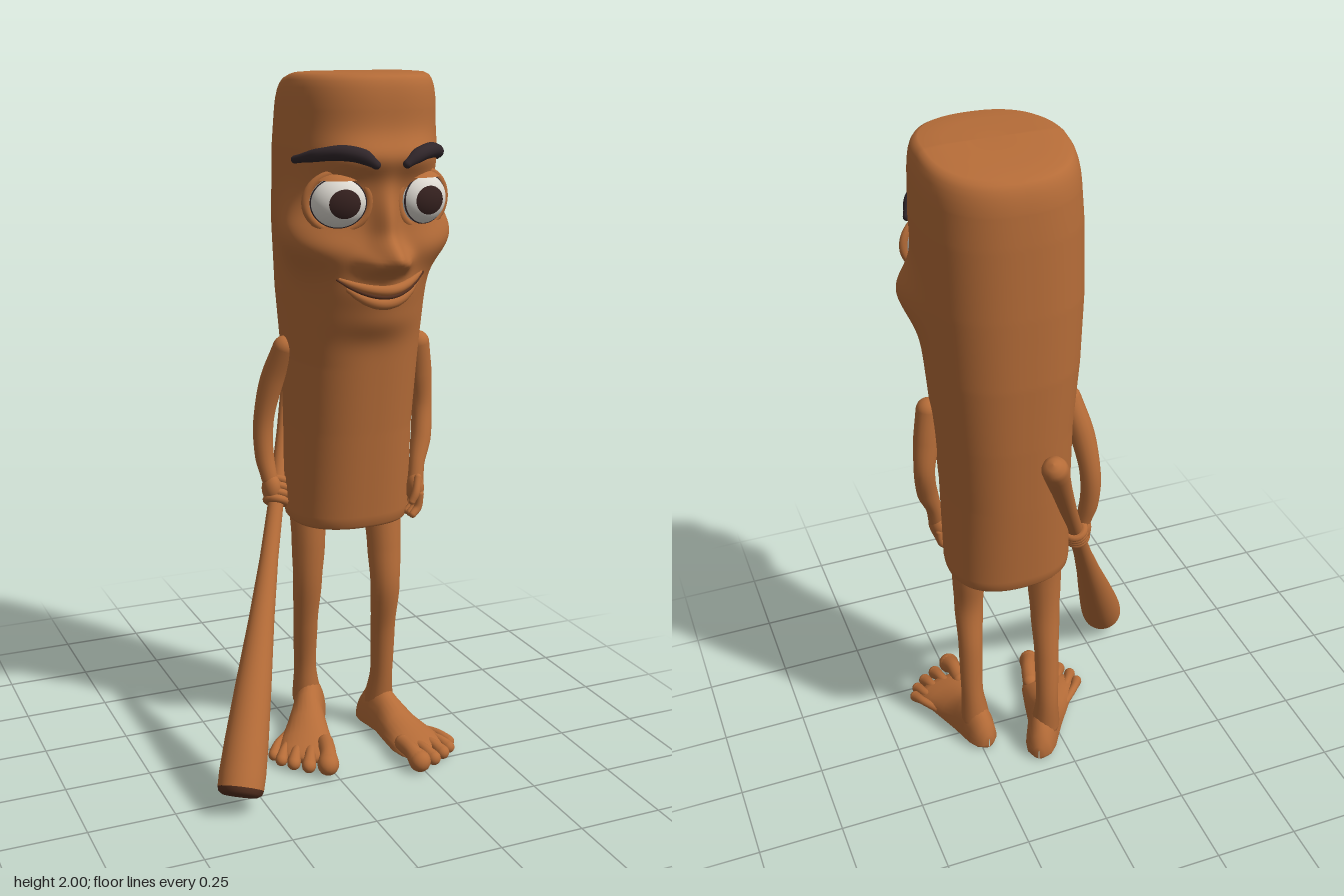
import * as THREE from 'three';
import { mergeVertices } from 'three/addons/utils/BufferGeometryUtils.js';

const mat = (name, color) => Object.assign(new THREE.MeshStandardMaterial({ color }), { name });
const wood = mat('wood brown', 0xb56c38);
const dark = mat('brow black', 0x30262a);
const pupil = mat('iris dark brown', 0x35211f);
const white = mat('eye white', 0xdcd8d0);
const crease = mat('mouth brown', 0x55301f);
const MID = 0.14; // the face's line of symmetry

function mesh(name, geo, material, parent) {
  const m = new THREE.Mesh(geo, material);
  m.name = name;
  parent.add(m);
  return m;
}

function smooth(geo) {
  geo.deleteAttribute('uv');
  geo.deleteAttribute('normal');
  const g = mergeVertices(geo, 1e-5);
  g.computeVertexNormals();
  return g;
}

// Round limb through [x, y, z, radius] points, with ball ends
function limb(name, pts, material, parent, steps = 32) {
  const group = new THREE.Group();
  group.name = name;
  parent.add(group);
  const curve = new THREE.CatmullRomCurve3(pts.map(p => new THREE.Vector3(p[0], p[1], p[2])));
  const sides = 16, geo = new THREE.TubeGeometry(curve, steps, 1, sides);
  const pos = geo.attributes.position, v = new THREE.Vector3();
  for (let i = 0; i <= steps; i++) {
    const c = curve.getPointAt(i / steps);
    const t = curve.getUtoTmapping(i / steps) * (pts.length - 1);
    const k = Math.min(Math.floor(t), pts.length - 2);
    const r = THREE.MathUtils.lerp(pts[k][3], pts[k + 1][3], THREE.MathUtils.smoothstep(t - k, 0, 1));
    for (let j = 0; j <= sides; j++) {
      const n = i * (sides + 1) + j;
      v.fromBufferAttribute(pos, n).sub(c).multiplyScalar(r).add(c);
      pos.setXYZ(n, v.x, v.y, v.z);
    }
  }
  mesh(name + 'Tube', geo, material, group);
  for (const p of [pts[0], pts[pts.length - 1]])
    mesh(name + 'End', new THREE.SphereGeometry(p[3], 16, 12), material, group).position.set(p[0], p[1], p[2]);
  return group;
}

function ellipsoid(name, p, s, material, parent) {
  const m = mesh(name, new THREE.SphereGeometry(1, 28, 20), material, parent);
  m.position.set(...p);
  m.scale.set(...s);
  return m;
}

// Body outline by height: y, right x, left x, front z, back z
const OUTLINE = [
  [0.71, -0.035, 0.325, 0.11, -0.205], [1.0, -0.035, 0.325, 0.135, -0.225], [1.2, -0.04, 0.335, 0.155, -0.237],
  [1.4, -0.06, 0.348, 0.175, -0.245], [1.6, -0.072, 0.357, 0.198, -0.245], [1.8, -0.072, 0.36, 0.213, -0.24],
  [2.0, -0.06, 0.353, 0.213, -0.23],
];
function outline(y) {
  let k = 0;
  while (k < OUTLINE.length - 2 && y > OUTLINE[k + 1][0]) k++;
  const a = OUTLINE[k], b = OUTLINE[k + 1], t = THREE.MathUtils.clamp((y - a[0]) / (b[0] - a[0]), 0, 1);
  const [, x0, x1, zf, zb] = a.map((q, i) => q + (b[i] - q) * t);
  return { cx: (x0 + x1) / 2, rx: (x1 - x0) / 2, cz: (zf + zb) / 2, rz: (zf - zb) / 2 };
}

// Face relief: centre, spread, push
const BUMPS = [
  [[MID, 1.515, 0.2], [0.03, 0.03, 0.12], [0, 0, 0.088]],  // nose tip
  [[MID, 1.6, 0.2], [0.024, 0.07, 0.12], [0, 0, 0.042]],   // nose bridge
  [[MID, 1.42, 0.18], [0.09, 0.05, 0.12], [0, 0, 0.042]],  // muzzle
  [[MID, 1.33, 0.17], [0.08, 0.035, 0.12], [0, 0, 0.022]], // chin
];
for (const s of [-1, 1]) BUMPS.push(
  [[MID + s * 0.047, 1.5, 0.2], [0.02, 0.02, 0.12], [0, 0, 0.04]],               // nostril wings
  [[MID + s * 0.205, 1.565, 0.1], [0.08, 0.06, 0.08], [s * 0.048, 0, 0.02]],      // cheeks
  [[MID + s * 0.13, 1.53, 0.18], [0.06, 0.04, 0.1], [0, 0, 0.025]],              // cheek fronts
  [[MID + s * 0.09, 1.78, 0.2], [0.08, 0.035, 0.1], [0, 0, 0.03]],               // brow ridges
);
function relief(x, y, z) {
  const d = [0, 0, 0];
  for (const [c, s, push] of BUMPS) {
    const w = Math.exp(-0.5 * (((x - c[0]) / s[0]) ** 2 + ((y - c[1]) / s[1]) ** 2 + ((z - c[2]) / s[2]) ** 2));
    push.forEach((p, i) => { d[i] += p * w; });
  }
  return d;
}
const POW = 2.4;
function frontZ(x, y) {
  const o = outline(y);
  const z = o.cz + o.rz * Math.max(0, 1 - Math.abs((x - o.cx) / o.rx) ** POW) ** (1 / POW);
  return z + relief(x, y, z)[2];
}

function buildBody(parent) {
  const prof = [[0, 0.715], [0.5, 0.715], [0.88, 0.71], [0.95, 0.712], [0.985, 0.72], [1, 0.74]];
  for (let i = 1; i <= 130; i++) prof.push([1, 0.74 + 1.17 * i / 130]);
  prof.push([0.995, 1.935], [0.98, 1.96], [0.955, 1.978], [0.92, 1.99], [0.86, 1.997], [0.6, 2], [0.3, 2], [0, 2]);
  const geo = new THREE.LatheGeometry(prof.map(p => new THREE.Vector2(...p)), 160);
  const pos = geo.attributes.position;
  for (let i = 0; i < pos.count; i++) {
    let x = pos.getX(i), y = pos.getY(i), z = pos.getZ(i);
    const r = Math.hypot(x, z), o = outline(y);
    if (r > 1e-6) {
      const k = r / ((Math.abs(x / r) ** POW + Math.abs(z / r) ** POW) ** (1 / POW)) / r;
      x *= k; z *= k;
    }
    const tilt = 0.032 * Math.max(0, -z) * THREE.MathUtils.smoothstep(y, 1.8, 2);
    x = o.cx + o.rx * x;
    z = o.cz + o.rz * z;
    const d = y > 0.72 ? relief(x, y, z) : [0, 0, 0];
    pos.setXYZ(i, x + d[0], y - tilt, z + d[2]);
  }
  mesh('body', smooth(geo), wood, parent);
}

function buildEye(s, parent) {
  const eye = new THREE.Group();
  eye.name = s > 0 ? 'leftEye' : 'rightEye';
  eye.position.set(MID + s * 0.122, 1.665, 0.168);
  eye.rotation.y = s * 0.3;
  eye.scale.set(0.079, 0.07, 0.062);
  parent.add(eye);
  mesh('eyeball', new THREE.SphereGeometry(1, 32, 24), white, eye);
  const iris = mesh('iris', new THREE.SphereGeometry(1.04, 32, 8, 0, Math.PI * 2, 0, 0.56), pupil, eye);
  iris.rotation.x = Math.PI / 2;
  iris.rotation.z = s * 0.2;
  mesh('upperLid', new THREE.SphereGeometry(1.12, 32, 10, 0, Math.PI * 2, 0, 0.72), wood, eye);
  mesh('lidRim', new THREE.TorusGeometry(1.08, 0.16, 12, 40), wood, eye).position.z = 0.12;
  mesh('lashLine', new THREE.TorusGeometry(0.93, 0.04, 8, 40), dark, eye).position.z = 0.33;
}

function buildFace(parent) {
  for (const s of [-1, 1]) {
    buildEye(s, parent);
    const brow = [[0.045, 1.766, 0.012], [0.08, 1.788, 0.02], [0.125, 1.797, 0.021], [0.17, 1.79, 0.018], [0.205, 1.772, 0.011]];
    limb(s > 0 ? 'leftBrow' : 'rightBrow',
      brow.map(([x, y, r]) => [MID + s * x, y, frontZ(MID + s * x, y) + 0.006, r]), dark, parent);
  }
  // Smile: lips either side of a dark line
  const smile = (name, dy, r, out, width, material) => {
    const pts = [];
    for (let i = -4; i <= 4; i++) {
      const u = i / 4, x = MID + 0.004 + u * width;
      const y = 1.41 + dy * (1 - 0.6 * u * u) + 0.05 * (x - MID) ** 2 / 0.0169;
      pts.push([x, y, frontZ(x, y) + out, r * (1 - 0.55 * u * u)]);
    }
    limb(name, pts, material, parent);
  };
  smile('upperLip', 0.017, 0.015, 0, 0.12, wood);
  smile('lowerLip', -0.02, 0.017, 0, 0.1, wood);
  smile('mouthLine', 0, 0.006, 0.008, 0.13, crease);
}

// Foot along local +z; inner side is -x for the left foot
function buildFoot(s, x, z, yaw, stretch, parent) {
  const foot = new THREE.Group();
  foot.name = s > 0 ? 'leftFoot' : 'rightFoot';
  foot.position.set(x, 0.008, z);
  foot.rotation.y = s * yaw;
  foot.scale.z = stretch;
  parent.add(foot);
  // z, centre x, half width, height
  const secs = [[-0.08, 0, 0.002, 0.035], [-0.078, 0, 0.02, 0.05], [-0.065, 0, 0.038, 0.085], [-0.035, 0, 0.048, 0.13], [0, 0, 0.05, 0.15],
    [0.05, 0, 0.054, 0.12], [0.11, -0.006, 0.068, 0.085], [0.18, -0.012, 0.083, 0.06], [0.225, -0.014, 0.082, 0.046],
    [0.25, -0.018, 0.07, 0.036], [0.262, -0.02, 0.002, 0.02]];
  const n = 28, pos = [], idx = [];
  secs.forEach(([sz, cx, w, h], i) => {
    for (let j = 0; j < n; j++) {
      const a = j / n * Math.PI * 2, b = 0.016, q = Math.sin(a);
      pos.push(s * cx + w * Math.cos(a), q > 0 ? b + (h - b) * q : b + b * q, sz);
      if (i) {
        const p = (i - 1) * n + j, p2 = (i - 1) * n + (j + 1) % n;
        idx.push(p, p2, p + n, p2, p2 + n, p + n);
      }
    }
  });
  const geo = new THREE.BufferGeometry();
  geo.setAttribute('position', new THREE.Float32BufferAttribute(pos, 3));
  geo.setIndex(idx);
  geo.computeVertexNormals();
  mesh('sole', geo, wood, foot);
  const toes = [[-0.09, 0.3, 0.032], [-0.033, 0.297, 0.021], [0.013, 0.285, 0.02], [0.052, 0.268, 0.018], [0.078, 0.24, 0.017]];
  toes.forEach(([tx, tz, r]) => limb('toe', [[s * (tx * 0.75 - 0.004), r + 0.008, tz - 0.1, r * 0.75],
    [s * tx * 0.95, r + 0.008, tz - 0.04, r * 0.75], [s * tx, r * 0.9, tz, r]], wood, foot, 10));
}

function buildBat(parent) {
  const from = new THREE.Vector3(0.11, 1.21, -0.345), to = new THREE.Vector3(-0.335, 0.06, 0.32);
  const bat = new THREE.Group();
  bat.name = 'bat';
  bat.position.copy(from);
  bat.quaternion.setFromUnitVectors(new THREE.Vector3(0, 1, 0), to.clone().sub(from).normalize());
  parent.add(bat);
  const lathe = p => new THREE.LatheGeometry(p.map(q => new THREE.Vector2(...q)), 32);
  mesh('batShaft', lathe([[0, -0.036], [0.018, -0.031], [0.031, -0.018], [0.036, 0], [0.035, 0.04], [0.029, 0.16], [0.024, 0.32],
    [0.023, 0.55], [0.027, 0.72], [0.037, 0.9], [0.052, 1.1], [0.062, 1.25], [0.066, 1.34], [0.065, 1.38]]), wood, bat);
  mesh('batEnd', lathe([[0.065, 1.38], [0.061, 1.393], [0.05, 1.4], [0, 1.402]]), crease, bat);
  return bat;
}

export function createModel() {
  const model = new THREE.Group();
  model.name = 'logFigure';
  buildBody(model);
  buildFace(model);

  // Legs and feet
  limb('leftLeg', [[0.24, 0.74, 0.005, 0.056], [0.24, 0.62, 0.022, 0.05], [0.24, 0.5, 0.034, 0.044], [0.247, 0.35, 0.008, 0.037],
    [0.253, 0.2, -0.01, 0.034], [0.25, 0.09, -0.025, 0.044]], wood, model);
  limb('rightLeg', [[0.037, 0.74, -0.08, 0.056], [0.037, 0.62, -0.078, 0.05], [0.037, 0.5, -0.085, 0.044], [0.042, 0.35, -0.112, 0.037],
    [0.05, 0.2, -0.136, 0.034], [0.055, 0.09, -0.135, 0.044]], wood, model);
  buildFoot(1, 0.25, -0.02, 0.25, 1, model);
  buildFoot(-1, 0.06, -0.125, 0.5, 1.1, model);

  // Left arm with a relaxed hand
  limb('leftArm', [[0.338, 1.23, 0.022, 0.035], [0.352, 1.14, 0.012, 0.036], [0.363, 1.04, 0.008, 0.03], [0.352, 0.95, 0.03, 0.03],
    [0.328, 0.87, 0.053, 0.023], [0.318, 0.82, 0.065, 0.025]], wood, model);
  ellipsoid('leftPalm', [0.315, 0.805, 0.068], [0.026, 0.045, 0.036], wood, model);
  for (let i = 0; i < 4; i++) {
    const z = 0.042 + i * 0.018;
    limb('leftFinger', [[0.32, 0.79, z, 0.011], [0.313, 0.75, z, 0.012], [0.295, 0.732, z + 0.004, 0.011]], wood, model, 10);
  }
  limb('leftThumb', [[0.315, 0.84, 0.09, 0.011], [0.3, 0.8, 0.108, 0.012], [0.288, 0.775, 0.108, 0.01]], wood, model, 10);

  // Right arm with a fist around the bat
  limb('rightArm', [[-0.045, 1.23, -0.06, 0.034], [-0.07, 1.13, -0.095, 0.035], [-0.088, 1.0, -0.12, 0.03], [-0.088, 0.9, -0.115, 0.028],
    [-0.078, 0.83, -0.1, 0.024]], wood, model);
  ellipsoid('rightPalm', [-0.074, 0.8, -0.095], [0.028, 0.045, 0.034], wood, model);
  const bat = buildBat(model);
  for (let i = 0; i < 4; i++) {
    const finger = mesh('rightFinger', new THREE.TorusGeometry(0.028, 0.012, 10, 24), wood, bat);
    finger.rotation.x = Math.PI / 2;
    finger.position.y = 0.485 + i * 0.02;
  }
  return model;
}
